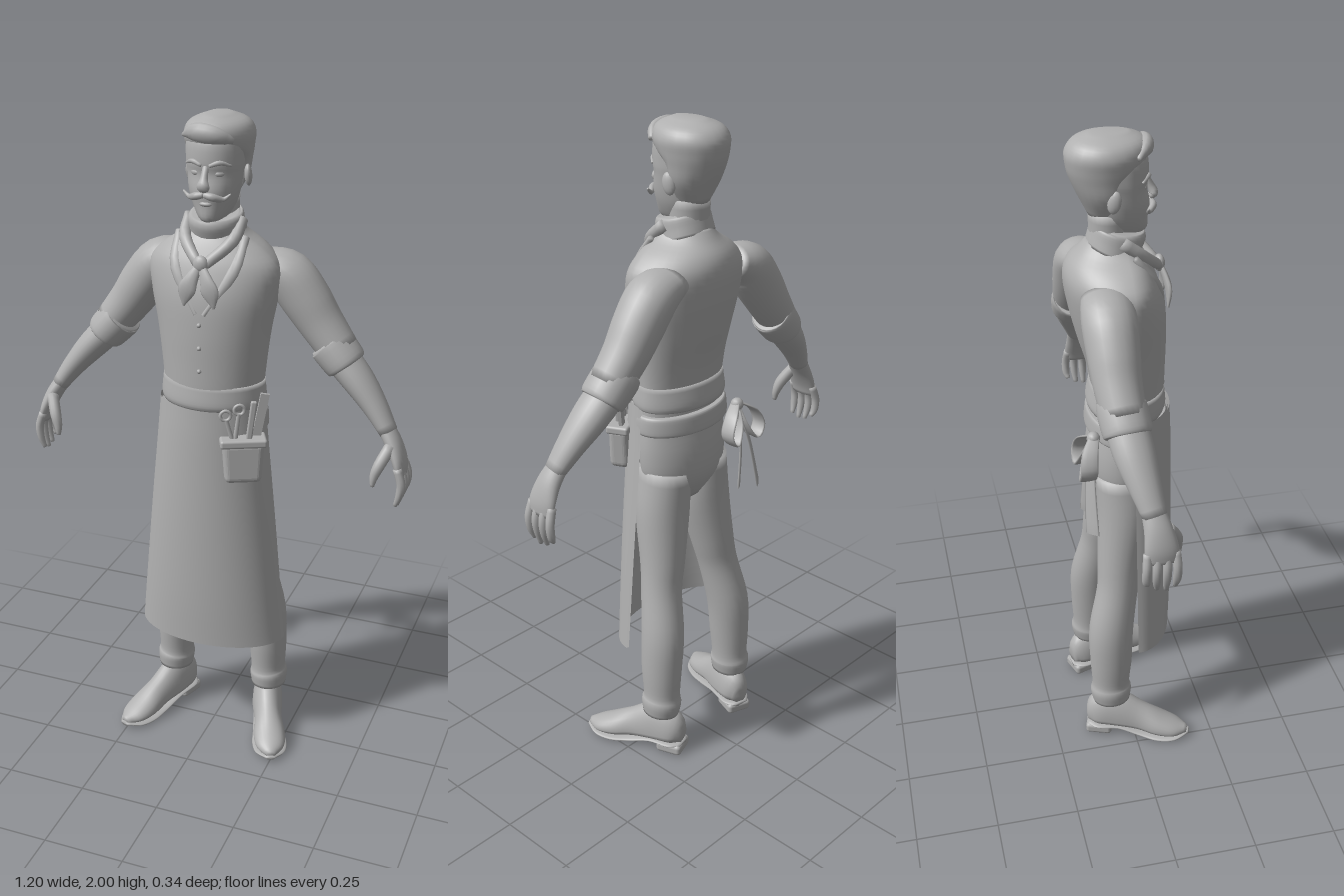
import * as THREE from 'three';
import { RoundedBoxGeometry } from 'three/addons/geometries/RoundedBoxGeometry.js';

const grey = new THREE.MeshStandardMaterial({ color: 0xb0b0b0, side: THREE.DoubleSide });
grey.name = 'clay grey';
const Z = [0, 0, 1], Y = [0, 1, 0];

function add(parent, name, geometry, pos = [0, 0, 0], rot = [0, 0, 0], scale = [1, 1, 1]) {
  const m = new THREE.Mesh(geometry, grey);
  m.name = name;
  m.position.set(...pos);
  m.rotation.set(...rot);
  m.scale.set(...scale);
  parent.add(m);
  return m;
}

// Smooth skin along rows of [x, y, z, side radius, radius towards ref, radius away from ref]
function sweep(rows, { ref = Z, seg = 24, sub = 4, arc = null } = {}) {
  const path = new THREE.CatmullRomCurve3(rows.map(r => new THREE.Vector3(r[0], r[1], r[2])), false, 'catmullrom');
  const size = new THREE.CatmullRomCurve3(rows.map(r => new THREE.Vector3(r[3], r[4], r[5] ?? r[4])), false, 'catmullrom');
  const steps = (rows.length - 1) * sub, cols = arc ? seg + 1 : seg;
  const pos = [], idx = [], refV = new THREE.Vector3(...ref);
  for (let i = 0; i <= steps; i++) {
    const c = path.getPoint(i / steps), r = size.getPoint(i / steps), t = path.getTangent(i / steps);
    const b = refV.clone().addScaledVector(t, -t.dot(refV)).normalize();
    const n = new THREE.Vector3().crossVectors(t, b);
    for (let j = 0; j < cols; j++) {
      const a = arc ? arc[0] + (arc[1] - arc[0]) * j / seg : j / seg * Math.PI * 2;
      const k = Math.cos(a);
      const p = c.clone().addScaledVector(n, Math.max(r.x, 0.001) * Math.sin(a))
        .addScaledVector(b, Math.max(k > 0 ? r.y : r.z, 0.001) * k);
      pos.push(p.x, p.y, p.z);
    }
  }
  for (let i = 0; i < steps; i++) for (let j = 0; j < seg; j++) {
    const a = i * cols + j, b = i * cols + (j + 1) % cols;
    idx.push(a, b, a + cols, b, b + cols, a + cols);
  }
  if (!arc) {
    const first = pos.length / 3, last = steps * cols;
    pos.push(...path.getPoint(0).toArray(), ...path.getPoint(1).toArray());
    for (let j = 0; j < seg; j++) {
      const k = (j + 1) % seg;
      idx.push(first, k, j, first + 1, last + j, last + k);
    }
  }
  const g = new THREE.BufferGeometry();
  g.setAttribute('position', new THREE.Float32BufferAttribute(pos, 3));
  g.setIndex(idx);
  g.computeVertexNormals();
  return g;
}

// Upright skin from rows of [y, half width, front depth, back depth] around a fixed z
const upright = (rows, z = 0, opt) => sweep(rows.map(([y, w, f, b]) => [0, y, z, w, f, b]), opt);

function buildHead(g) {
  add(g, 'neck', upright([[1.6, 0.065, 0.065, 0.06], [1.68, 0.058, 0.06, 0.055], [1.78, 0.06, 0.06, 0.055]], -0.035));
  add(g, 'head', upright([[1.705, 0.02, 0.055, 0.02], [1.722, 0.042, 0.074, 0.045], [1.76, 0.062, 0.076, 0.075],
    [1.8, 0.073, 0.08, 0.085], [1.845, 0.079, 0.072, 0.1], [1.88, 0.082, 0.077, 0.12], [1.94, 0.078, 0.07, 0.12],
    [1.98, 0.04, 0.035, 0.08]]));
  add(g, 'hair', upright([[1.77, 0.05, 0, 0.05], [1.83, 0.083, 0.015, 0.08], [1.88, 0.092, 0.04, 0.102],
    [1.915, 0.097, 0.1, 0.111], [1.95, 0.099, 0.117, 0.112], [1.98, 0.08, 0.105, 0.09], [2.0, 0.03, 0.06, 0.04]], -0.04));
  add(g, 'quiff', sweep([[0.07, 1.94, 0.045, 0.008, 0.01], [0.03, 1.955, 0.068, 0.024, 0.018],
    [-0.03, 1.96, 0.064, 0.026, 0.02], [-0.08, 1.945, 0.03, 0.006, 0.008]], { seg: 12 }));
  add(g, 'nose', sweep([[0, 1.872, 0.07, 0.009, 0.006], [0, 1.84, 0.084, 0.011, 0.01],
    [0, 1.818, 0.092, 0.019, 0.013], [0, 1.806, 0.082, 0.012, 0.008]], { seg: 12 }));
  add(g, 'lowerLip', new THREE.SphereGeometry(0.02, 12, 8), [0, 1.766, 0.07], [0, 0, 0], [1, 0.4, 0.6]);
  for (const s of [-1, 1]) {
    add(g, 'ear', new THREE.SphereGeometry(0.032, 14, 10), [s * 0.086, 1.832, -0.035], [0.2, s * 0.35, 0], [0.35, 1, 0.6]);
    add(g, 'eyelid', new THREE.SphereGeometry(0.017, 12, 8), [s * 0.034, 1.85, 0.057], [0, s * 0.4, 0], [1, 0.6, 0.6]);
    add(g, 'eyebrow', sweep([[s * 0.012, 1.873, 0.076, 0.005, 0.006], [s * 0.04, 1.882, 0.068, 0.007, 0.007],
      [s * 0.066, 1.872, 0.046, 0.003, 0.004]], { seg: 8 }));
    add(g, 'moustache', sweep([[0, 1.795, 0.085, 0.008, 0.008], [s * 0.025, 1.79, 0.086, 0.011, 0.01],
      [s * 0.05, 1.783, 0.068, 0.007, 0.007], [s * 0.07, 1.797, 0.062, 0.003, 0.003]], { seg: 10 }));
  }
}

function buildTorso(g) {
  add(g, 'torso', upright([[0.85, 0.08, 0.04, 0.055], [0.93, 0.145, 0.07, 0.1], [1.02, 0.158, 0.09, 0.105],
    [1.12, 0.152, 0.112, 0.088], [1.2, 0.152, 0.124, 0.085], [1.3, 0.16, 0.127, 0.1], [1.4, 0.172, 0.128, 0.128],
    [1.5, 0.19, 0.122, 0.152], [1.58, 0.195, 0.1, 0.163], [1.63, 0.155, 0.078, 0.152], [1.67, 0.095, 0.055, 0.12],
    [1.7, 0.07, 0.03, 0.095]], 0, { seg: 40 }));
  // Lower edge of the vest and the band of the apron
  add(g, 'vestHem', upright([[1.165, 0.158, 0.126, 0.1], [1.185, 0.161, 0.131, 0.102], [1.24, 0.156, 0.125, 0.09]], 0, { seg: 40 }));
  add(g, 'apronBand', upright([[1.09, 0.164, 0.132, 0.104], [1.1, 0.169, 0.137, 0.108], [1.14, 0.167, 0.137, 0.104],
    [1.15, 0.16, 0.13, 0.098]], 0, { seg: 40 }));
  add(g, 'collar', sweep([[0, 1.665, -0.025, 0.085, 0.078], [0, 1.69, -0.016, 0.082, 0.08], [0, 1.72, -0.006, 0.079, 0.08],
    [0, 1.728, -0.004, 0.066, 0.066]]));
  // Neckerchief with its knot and leaf shaped tails
  add(g, 'scarfKnot', new THREE.SphereGeometry(0.023, 14, 10), [0, 1.605, 0.112], [0, 0, 0], [1, 1.1, 0.7]);
  for (const s of [-1, 1]) {
    add(g, 'scarfFold', sweep([[s * 0.082, 1.71, -0.01, 0.014, 0.018], [s * 0.07, 1.66, 0.05, 0.018, 0.018],
      [s * 0.012, 1.605, 0.108, 0.015, 0.012]], { seg: 12 }));
    add(g, 'scarfTail', sweep([[0, 1.61, 0.112, 0.008, 0.006], [s * 0.022, 1.565, 0.127, 0.02, 0.009],
      [s * 0.036, 1.53, 0.132, 0.026, 0.008], [s * 0.046, 1.485, 0.129, 0.003, 0.003]], { seg: 12 }));
    add(g, 'vestLapel', sweep([[s * 0.1, 1.67, 0.02, 0.012, 0.01], [s * 0.085, 1.58, 0.085, 0.018, 0.012],
      [s * 0.012, 1.46, 0.124, 0.006, 0.006]], { seg: 10 }));
  }
  for (let i = 0; i < 3; i++)
    add(g, 'button', new THREE.SphereGeometry(0.007, 8, 6), [0, 1.43 - i * 0.07, 0.128]);
}

function buildArm(g, s) {
  const limb = (name, rows, opt) => add(g, name, sweep(rows.map(([x, ...r]) => [s * x, ...r]), opt));
  limb('sleeve', [[0.12, 1.575, -0.07, 0.045, 0.068], [0.195, 1.545, -0.075, 0.07, 0.077], [0.25, 1.48, -0.076, 0.073, 0.074],
    [0.3, 1.41, -0.076, 0.066, 0.068], [0.36, 1.335, -0.07, 0.058, 0.062]]);
  limb('sleeveCuff', [[0.325, 1.36, -0.072, 0.06, 0.064], [0.335, 1.35, -0.072, 0.066, 0.07], [0.38, 1.302, -0.066, 0.062, 0.069],
    [0.388, 1.293, -0.065, 0.052, 0.06]]);
  limb('forearm', [[0.35, 1.33, -0.07, 0.05, 0.06], [0.42, 1.26, -0.058, 0.046, 0.058], [0.48, 1.19, -0.042, 0.036, 0.046],
    [0.53, 1.12, -0.025, 0.026, 0.034]]);
  limb('palm', [[0.515, 1.14, -0.03, 0.024, 0.032], [0.548, 1.09, -0.02, 0.024, 0.04], [0.57, 1.04, -0.015, 0.02, 0.048],
    [0.578, 1.0, -0.014, 0.014, 0.045]]);
  for (let i = 0; i < 4; i++) {
    const z = -0.054 + i * 0.026, tip = [0.925, 0.908, 0.903, 0.912][i];
    limb('finger', [[0.572, 1.03, z, 0.013, 0.013], [0.586, 0.985, z * 1.1, 0.013, 0.013],
      [0.583, 0.945, z * 1.1, 0.011, 0.012], [0.572, tip, z, 0.006, 0.007]], { seg: 10 });
  }
  limb('thumb', [[0.545, 1.09, 0.005, 0.018, 0.018], [0.522, 1.04, 0.036, 0.017, 0.018], [0.51, 1.005, 0.046, 0.013, 0.013],
    [0.507, 0.975, 0.05, 0.006, 0.007]], { seg: 12 });
}

function buildLeg(g, s) {
  const limb = (name, rows, opt) => add(g, name, sweep(rows.map(([x, ...r]) => [s * x, ...r]), opt));
  limb('trouserLeg', [[0.08, 0.96, -0.01, 0.073, 0.083], [0.09, 0.82, -0.008, 0.083, 0.083], [0.112, 0.66, -0.028, 0.07, 0.07],
    [0.13, 0.56, -0.04, 0.063, 0.064], [0.152, 0.42, -0.065, 0.064, 0.07], [0.16, 0.3, -0.068, 0.06, 0.067],
    [0.162, 0.21, -0.07, 0.055, 0.06], [0.164, 0.18, -0.07, 0.06, 0.066], [0.165, 0.14, -0.068, 0.055, 0.06]]);
  // Shoe turned slightly outwards, on a thin sole with a heel block
  limb('shoe', [[0.14, 0.06, -0.142, 0.022, 0.03, 0.025], [0.15, 0.065, -0.11, 0.045, 0.085, 0.035], [0.168, 0.06, -0.05, 0.049, 0.1, 0.032],
    [0.195, 0.05, 0.02, 0.045, 0.065, 0.03], [0.22, 0.036, 0.08, 0.051, 0.044, 0.026], [0.24, 0.028, 0.13, 0.043, 0.027, 0.018],
    [0.254, 0.026, 0.166, 0.014, 0.012, 0.01]], { ref: Y });
  limb('sole', [[0.142, 0.033, -0.145, 0.025, 0.007], [0.15, 0.034, -0.11, 0.048, 0.008], [0.17, 0.03, -0.04, 0.044, 0.008],
    [0.198, 0.014, 0.03, 0.049, 0.009], [0.222, 0.009, 0.085, 0.056, 0.009], [0.241, 0.011, 0.135, 0.047, 0.008],
    [0.255, 0.018, 0.172, 0.014, 0.006]], { ref: Y });
  add(g, 'heel', new RoundedBoxGeometry(0.082, 0.036, 0.085, 2, 0.012), [s * 0.151, 0.018, -0.105], [0, s * 0.34, 0]);
}

function buildApron(g) {
  const q = Math.PI / 2;
  const rows = (d) => [[1.17, 0.163 - d, 0.138 - d], [1.05, 0.174 - d, 0.143 - d], [0.8, 0.199 - d, 0.147 - d],
    [0.55, 0.222 - d, 0.146 - d], [0.375, 0.238 - d, 0.14 - d]];
  add(g, 'apronSkirt', upright(rows(0), 0.006, { seg: 40, arc: [-q, q] }));
  add(g, 'apronLining', upright(rows(0.006), 0.006, { seg: 40, arc: [-q, q] }));
  // Bow tied at the back right hip
  const bow = new THREE.Group();
  bow.name = 'apronBow';
  g.add(bow);
  add(bow, 'bowKnot', new THREE.SphereGeometry(0.02, 12, 8), [-0.13, 1.13, -0.11]);
  for (const s of [-1, 1]) {
    const x = (d) => -0.13 + s * d;
    add(bow, 'bowLoop', sweep([[x(0), 1.14, -0.105, 0.004, 0.014], [x(0.05), 1.105, -0.13, 0.004, 0.024],
      [x(0.072), 1.055, -0.137, 0.004, 0.026], [x(0.045), 1.02, -0.137, 0.004, 0.026],
      [x(0.012), 1.07, -0.125, 0.004, 0.022], [x(0), 1.13, -0.105, 0.004, 0.014]], { seg: 10 }));
    add(bow, 'bowTail', sweep([[-0.13, 1.12, -0.115, 0.004, 0.012], [x(0.02) - 0.02, 1.0, -0.128, 0.004, 0.019],
      [x(0.045) - 0.035, 0.845 + (s > 0 ? 0.02 : 0), -0.132, 0.004, 0.027]], { ref: [0.8, 0, -0.6], seg: 10 }));
  }
}

function buildPouch(g) {
  const p = new THREE.Group();
  p.name = 'toolPouch';
  p.position.set(0.13, 0, 0.112);
  p.rotation.y = 0.45;
  g.add(p);
  const body = new RoundedBoxGeometry(0.126, 0.13, 0.062, 3, 0.018);
  const v = body.attributes.position;
  for (let i = 0; i < v.count; i++) {
    const k = 0.93 + v.getY(i) * 1.1;
    v.setX(i, v.getX(i) * k);
  }
  body.computeVertexNormals();
  add(p, 'pouchBody', body, [0, 1.023, 0]);
  add(p, 'pouchRim', new RoundedBoxGeometry(0.138, 0.026, 0.07, 3, 0.008), [0, 1.086, 0]);
  // Scissors, comb and razor standing in the pouch
  for (const [x, y] of [[-0.052, 1.17], [-0.012, 1.187]]) {
    add(p, 'scissorRing', new THREE.TorusGeometry(0.015, 0.005, 8, 18), [x, y, 0.008]);
    add(p, 'scissorShank', new THREE.CylinderGeometry(0.006, 0.007, 0.085, 8), [(x - 0.025) / 2, y - 0.054, 0.008], [0, 0, x < -0.03 ? 0.28 : -0.12]);
  }
  add(p, 'comb', new THREE.BoxGeometry(0.026, 0.16, 0.01), [0.05, 1.15, -0.008], [0, 0, -0.18]);
  add(p, 'razor', new RoundedBoxGeometry(0.018, 0.14, 0.014, 2, 0.005), [0.022, 1.145, 0.012], [0, 0, -0.12]);
}

export function createModel() {
  const g = new THREE.Group();
  g.name = 'apronedMan';
  buildHead(g);
  buildTorso(g);
  for (const s of [-1, 1]) {
    buildArm(g, s);
    buildLeg(g, s);
  }
  buildApron(g);
  buildPouch(g);
  return g;
}
